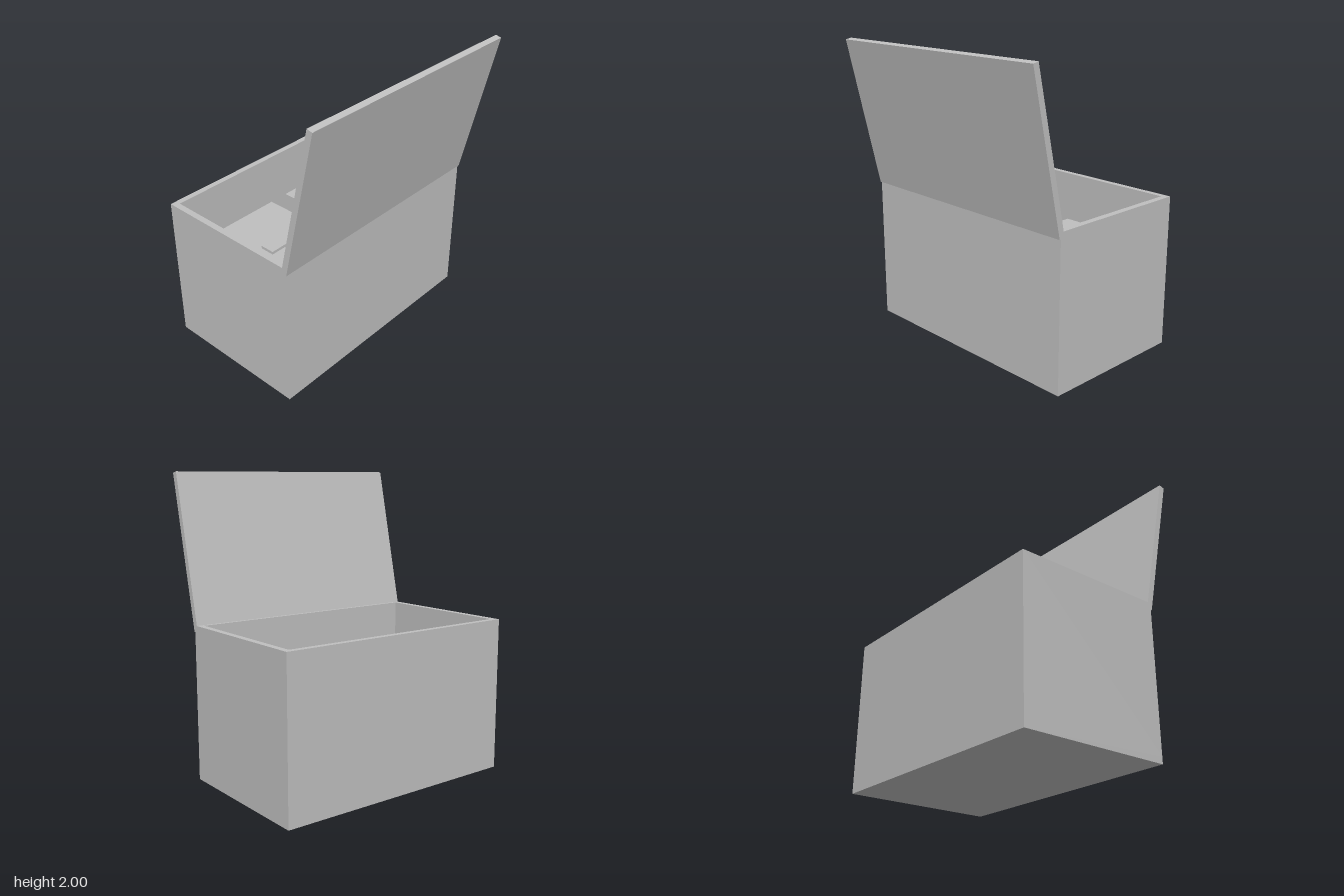
import * as THREE from 'three';

const grey = new THREE.MeshStandardMaterial({ color: 0xbfbfbf });
grey.name = 'plain grey';

// Box given by its min and max corners
function block(name, [x0, y0, z0], [x1, y1, z1]) {
  const mesh = new THREE.Mesh(new THREE.BoxGeometry(x1 - x0, y1 - y0, z1 - z0), grey);
  mesh.position.set((x0 + x1) / 2, (y0 + y1) / 2, (z0 + z1) / 2);
  mesh.name = name;
  return mesh;
}

function rectangle(target, x0, y0, x1, y1) {
  target.moveTo(x0, y0);
  target.lineTo(x1, y0);
  target.lineTo(x1, y1);
  target.lineTo(x0, y1);
  target.closePath();
  return target;
}

export function createModel() {
  const group = new THREE.Group();
  group.name = 'storageChest';
  const floorTop = 0.043, height = 1.03;

  // Floor and the ring of four walls (shape y becomes -z)
  group.add(block('floor', [-0.857, 0, -0.632], [0.857, floorTop, 0.4]));
  const outline = rectangle(new THREE.Shape(), -0.857, -0.4, 0.857, 0.632);
  outline.holes.push(rectangle(new THREE.Path(), -0.815, -0.355, 0.815, 0.592));
  const wallGeometry = new THREE.ExtrudeGeometry(outline, { depth: height - floorTop, bevelEnabled: false });
  wallGeometry.rotateX(-Math.PI / 2);
  const walls = new THREE.Mesh(wallGeometry, grey);
  walls.position.y = floorTop;
  walls.name = 'walls';
  group.add(walls);

  // Open lid, leaning outward over the front edge
  const lid = new THREE.Mesh(new THREE.BoxGeometry(1.714, 1.03, 0.041), grey);
  lid.position.set(0, 1.493, 0.502);
  lid.rotation.x = THREE.MathUtils.degToRad(12.6);
  lid.name = 'lid';
  group.add(lid);

  // Two inner bins, each with a small raised handle
  for (const [side, x] of [['left', 0.428], ['right', -0.428]]) {
    group.add(block(side + 'Bin', [x - 0.358, floorTop, -0.532], [x + 0.358, 0.718, 0.289]));
    group.add(block(side + 'Handle', [x - 0.083, 0.718, -0.172], [x + 0.083, 0.738, -0.07]));
  }
  return group;
}
